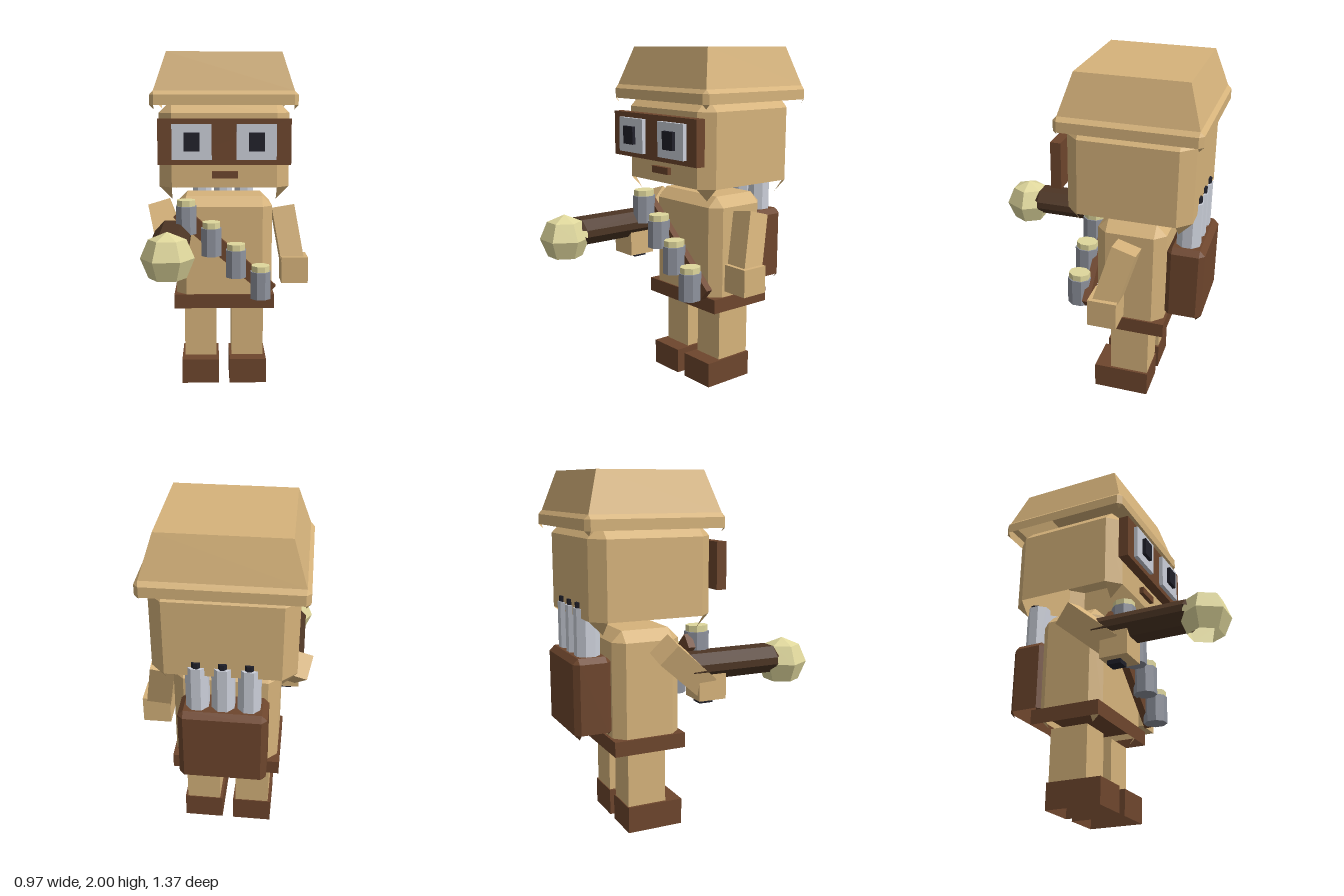
import * as THREE from 'three';

// Many parts are open underneath, so both sides are shown
const paint = (name, color) => {
  const m = new THREE.MeshStandardMaterial({ color, side: THREE.DoubleSide });
  m.name = name;
  return m;
};

// Box ends given as [min, max] on each axis
function slab(x, y, z) {
  const g = new THREE.BoxGeometry(x[1] - x[0], y[1] - y[0], z[1] - z[0]);
  return g.translate((x[0] + x[1]) / 2, (y[0] + y[1]) / 2, (z[0] + z[1]) / 2);
}

// Rectangle with corners cut by c, as eight points at height y
function ring(x, z, y, c, inset = 0) {
  const [x0, x1] = [x[0] + inset, x[1] - inset], [z0, z1] = [z[0] + inset, z[1] - inset];
  return [[x1, z1 - c], [x1 - c, z1], [x0 + c, z1], [x0, z1 - c],
    [x0, z0 + c], [x0 + c, z0], [x1 - c, z0], [x1, z0 + c]]
    .map(([px, pz]) => new THREE.Vector3(px, y, pz));
}

// Faceted shell through the rings, open below; its lower corners end in small points
function stack(rings, tips) {
  const pos = [];
  const tri = (a, b, c) => {
    const n = b.clone().sub(a).cross(c.clone().sub(a));
    if (n.length() > 1e-8) [a, b, c].forEach((p) => pos.push(p.x, p.y, p.z));
  };
  for (let k = 0; k + 1 < rings.length; k++) {
    const lo = rings[k], up = rings[k + 1];
    for (let i = 0; i < 8; i++) {
      const j = (i + 1) % 8;
      tri(lo[i], up[i], up[j]);
      tri(lo[i], up[j], lo[j]);
    }
  }
  const base = rings[0], top = rings[rings.length - 1];
  for (let i = 1; i < 7; i++) tri(top[0], top[i + 1], top[i]);
  for (let i = 0; i < 8; i += 2) tri(tips[i], base[i], base[i + 1]);
  const g = new THREE.BufferGeometry();
  g.setAttribute('position', new THREE.Float32BufferAttribute(pos, 3));
  return g;
}

const chamferBox = (x, y, z, c) => stack(
  [ring(x, z, y[0] + c, c), ring(x, z, y[1] - c, c), ring(x, z, y[1], 0, c)],
  ring(x, z, y[0], 0, c));

const openBox = (x, y, z) => stack(
  [ring(x, z, y[0], 0), ring(x, z, y[1], 0)], ring(x, z, y[0], 0));

// Upright eight-sided tube with flat sides facing the axes
function octTube(width, depth, height) {
  const r = 0.5 / Math.cos(Math.PI / 8);
  const g = new THREE.CylinderGeometry(r, r, height, 8).rotateY(Math.PI / 8);
  return g.scale(width, 1, depth);
}

// Square beam between two points, twisted about its length
function beam(a, b, w, twist) {
  const p = new THREE.Vector3(...a), q = new THREE.Vector3(...b);
  const g = new THREE.BoxGeometry(w, p.distanceTo(q), w).rotateY(twist);
  const turn = new THREE.Quaternion().setFromUnitVectors(
    new THREE.Vector3(0, 1, 0), p.clone().sub(q).normalize());
  const mid = p.clone().add(q).multiplyScalar(0.5);
  return g.applyQuaternion(turn).translate(mid.x, mid.y, mid.z);
}

export function createModel() {
  const model = new THREE.Group();
  model.name = 'adventurer';
  const tan = paint('tan cloth', 0xd6b37b);
  const leather = paint('brown leather', 0x6e462d);
  const wood = paint('dark wood', 0x4c3524);
  const silver = paint('pale silver', 0xcbcfd9);
  const steel = paint('grey steel', 0x8f939e);
  const black = paint('near black', 0x20202a);
  const straw = paint('pale straw', 0xdfd79c);
  const add = (name, geometry, material) => {
    const g = geometry.index ? geometry.toNonIndexed() : geometry;
    g.computeVertexNormals();
    const mesh = new THREE.Mesh(g, material);
    mesh.name = name;
    model.add(mesh);
  };

  // Hat: short vertical brim under a sloping crown
  const hx = [-0.455, 0.39], hz = [-0.668, 0.118];
  add('hat', stack([
    ring(hx, hz, 1.70, 0.025), ring(hx, hz, 1.757, 0.025), ring(hx, hz, 1.78, 0, 0.022),
    ring([-0.36, 0.30], [-0.575, 0.028], 2, 0),
  ], ring(hx, hz, 1.675, 0, 0.025)), tan);

  // Head and body with cut corners
  add('head', chamferBox([-0.408, 0.347], [1.155, 1.73], [-0.62, 0.075], 0.075), tan);
  add('body', chamferBox([-0.318, 0.262], [0.465, 1.155], [-0.47, -0.075], 0.06), tan);
  add('belt', openBox([-0.332, 0.273], [0.475, 0.56], [-0.485, -0.065]), leather);

  // Face
  add('goggleFrame', slab([-0.408, 0.347], [1.365, 1.625], [0.085, 0.143]), leather);
  for (const x of [-0.215, 0.15]) {
    add('goggleLens', slab([x - 0.1125, x + 0.1125], [1.395, 1.595], [0.14, 0.167]), silver);
    add('pupil', slab([x - 0.045, x + 0.045], [1.445, 1.548], [0.076, 0.188]), black);
  }
  add('mouth', slab([-0.102, 0.046], [1.285, 1.325], [0.07, 0.1]), leather);

  // Legs and boots
  for (const x of [-0.175, 0.115]) {
    add('leg', slab([x - 0.0975, x + 0.0975], [0.15, 0.455], [-0.387, -0.16]), tan);
    add('boot', openBox([x - 0.1125, x + 0.1125], [0, 0.15], [-0.392, -0.065]), leather);
  }

  // Arms and hands
  add('leftArm', beam([0.337, 1.063, -0.28], [0.392, 0.735, -0.185], 0.14, 0), tan);
  add('leftHand', slab([0.32, 0.482], [0.62, 0.78], [-0.265, -0.1]), tan);
  add('rightArm', beam([-0.41, 1.066, -0.23], [-0.338, 0.84, 0.04], 0.14, -0.12), tan);
  add('rightHand', slab([-0.418, -0.253], [0.755, 0.92], [-0.02, 0.145]), tan);

  // Club: cut-corner shaft, faceted head, small grip below the hand
  const shaft = chamferBox([-0.439, -0.229], [-0.525, 0.12], [0.868, 1.018], 0.055);
  add('clubShaft', shaft.rotateX(-Math.PI / 2), wood);
  const knob = [[0.1, 0.81], [0.143, 0.915], [0.1, 1.015], [0, 1.055]];
  const head = new THREE.LatheGeometry(
    knob.map(([r, y]) => new THREE.Vector2(r, y)), 6, Math.PI / 6);
  add('clubHead', head.translate(-0.335, 0, 0.56), straw);
  add('clubGrip', slab([-0.373, -0.298], [0.73, 0.9], [0.005, 0.085]), black);

  // Diagonal chest strap with four capped vials
  const strap = new THREE.BoxGeometry(0.73, 0.09, 0.042);
  add('chestStrap', strap.rotateZ(-0.72).translate(-0.026, 0.836, -0.021), leather);
  for (let i = 0; i < 4; i++) {
    const x = -0.252 + i * 0.145, y = 1.155 - i * 0.13;
    add('vial', octTube(0.117, 0.13, 0.163).translate(x, y - 0.1165, 0.045), steel);
    add('vialCap', octTube(0.104, 0.118, 0.04).translate(x, y - 0.02, 0.045), straw);
  }

  // Backpack with three silver tubes and dark tips
  add('backpack', chamferBox([-0.268, 0.207], [0.57, 1.02], [-0.682, -0.468], 0.03), leather);
  for (const x of [-0.167, -0.03, 0.106]) {
    add('packTube', octTube(0.12, 0.13, 0.34).translate(x, 1.11, -0.575), silver);
    add('packTubeTip', octTube(0.05, 0.06, 0.05).translate(x, 1.287, -0.605), black);
  }
  return model;
}
